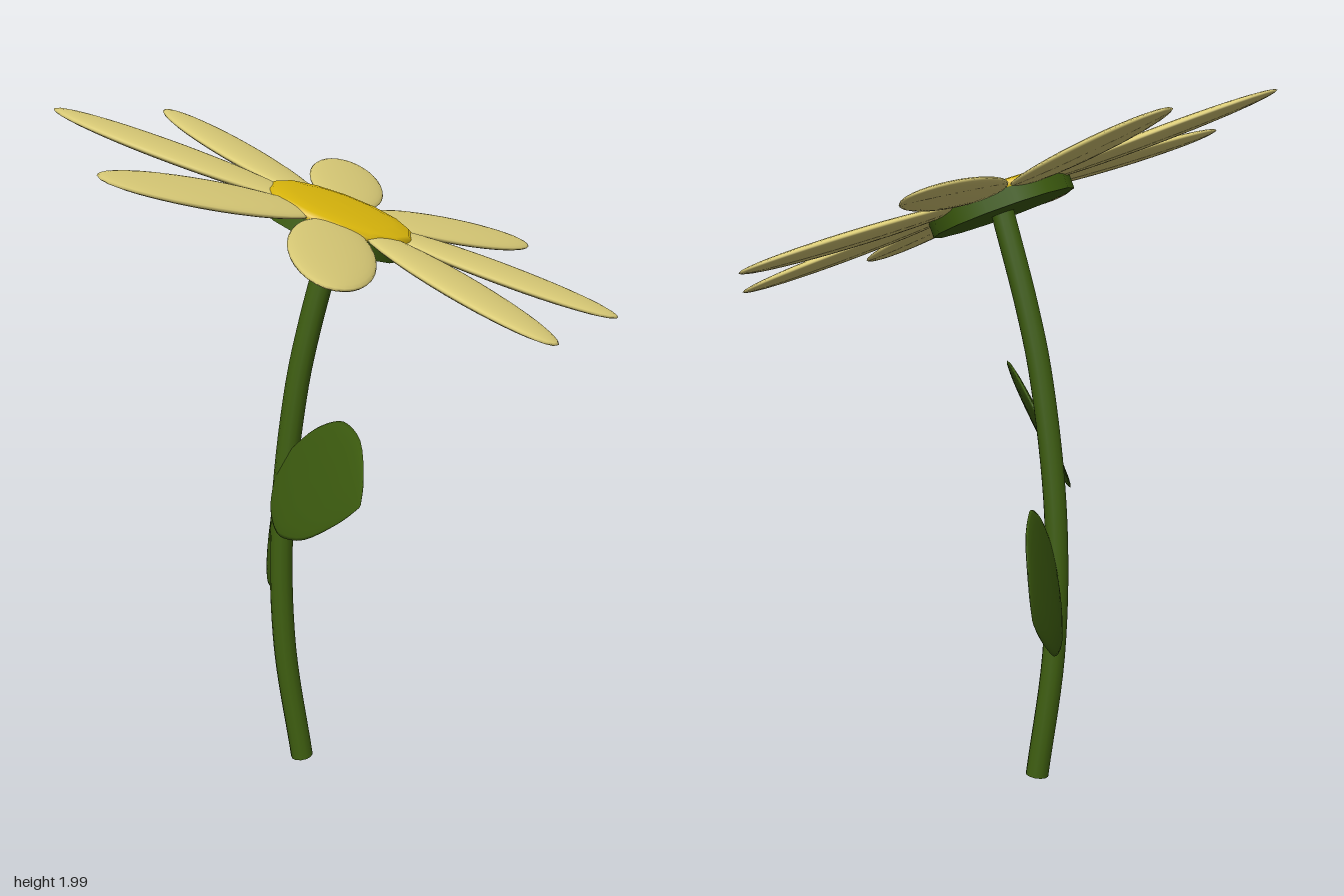
import * as THREE from 'three';
import { ParametricGeometry } from 'three/addons/geometries/ParametricGeometry.js';

const V = (x, y, z) => new THREE.Vector3(x, y, z);
const material = (color) => new THREE.MeshStandardMaterial({ color });
const green = material(0x3f5f10);
const cream = material(0xdccd78);
const yellow = material(0xdcb80c);

function add(parent, name, geometry, mat) {
  const mesh = new THREE.Mesh(geometry, mat);
  mesh.name = name;
  parent.add(mesh);
  return mesh;
}

// Leaf half-width (0..1) along its length (0..1)
const leafOutline = new THREE.SplineCurve([
  [0, 0.2], [0.05, 0.42], [0.15, 0.72], [0.3, 0.94], [0.45, 1], [0.68, 0.83], [0.9, 0.36], [1, 0.02],
].map(([u, w]) => new THREE.Vector2(u, w)));

// Thin lens-shaped leaf running from base to tip, spread along the side vector
function leafGeometry(base, tip, side, thickness) {
  const axis = tip.clone().sub(base);
  const normal = side.clone().cross(axis).normalize();
  const geometry = new ParametricGeometry((u, v, target) => {
    const p = leafOutline.getPoint(u);
    const angle = v * Math.PI * 2;
    target.copy(base)
      .addScaledVector(axis, p.x)
      .addScaledVector(side, p.y * Math.cos(angle))
      .addScaledVector(normal, p.y * thickness * Math.sin(angle));
  }, 24, 20);
  return geometry;
}

export function createModel() {
  const flower = new THREE.Group();
  flower.name = 'flower';

  // Curved stem with a closed foot
  const stemCurve = new THREE.CatmullRomCurve3([
    V(-0.12, 0.008, 0), V(-0.17, 0.4, 0), V(-0.172, 0.8, 0),
    V(-0.127, 1.2, 0), V(-0.085, 1.4, 0), V(-0.01, 1.68, 0),
  ]);
  add(flower, 'stem', new THREE.TubeGeometry(stemCurve, 32, 0.034, 12), green);
  const foot = add(flower, 'stemFoot', new THREE.CircleGeometry(0.034, 12), green);
  foot.position.copy(stemCurve.getPoint(0));
  foot.lookAt(foot.position.clone().sub(stemCurve.getTangent(0)));

  // Leaves, one to the front and one to the back
  add(flower, 'frontLeaf',
    leafGeometry(V(-0.17, 0.98, 0.01), V(0.075, 1.09, 0.61), V(0.09, 0.175, 0.015), 0.014), green);
  add(flower, 'backLeaf',
    leafGeometry(V(-0.165, 0.68, 0), V(-0.245, 0.65, -0.665), V(0.045, 0.187, 0), 0.014), green);

  // Tilted flower head
  const head = new THREE.Group();
  head.name = 'flowerHead';
  head.position.set(0, 1.712, 0);
  head.rotation.z = -THREE.MathUtils.degToRad(20);
  flower.add(head);

  // Green base under the petals
  const base = add(head, 'headBase', new THREE.CylinderGeometry(0.212, 0.212, 0.05, 14), green);
  base.position.y = -0.027;

  // Low domed centre
  const dome = [[0.212, -0.004], [0.215, 0.008], [0.2, 0.018], [0.15, 0.025], [0.08, 0.029], [0, 0.03]];
  add(head, 'centre',
    new THREE.LatheGeometry(dome.map(([r, y]) => new THREE.Vector2(r, y)), 14), yellow);

  // Ring of eight flattened petals
  const petal = new THREE.SphereGeometry(1, 32, 16).scale(0.36, 0.02, 0.117).translate(0.468, 0, 0);
  for (let i = 0; i < 8; i++) {
    add(head, `petal${i + 1}`, petal, cream).rotation.y = (i * Math.PI) / 4;
  }

  return flower;
}
